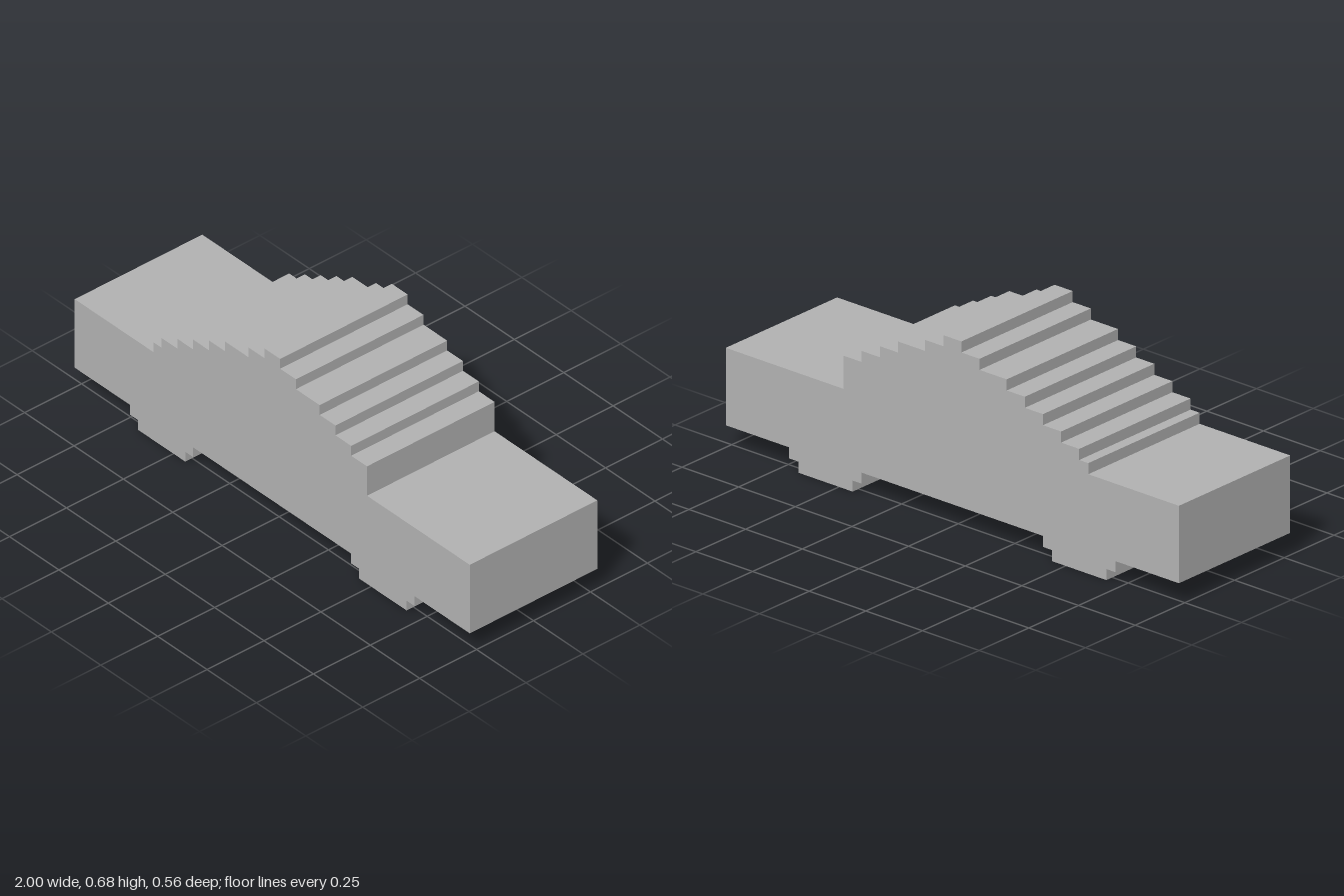
import * as THREE from 'three';

const WIDTH = 0.56;

export function createModel() {
  const group = new THREE.Group();
  group.name = 'steppedCar';

  const grey = new THREE.MeshStandardMaterial({ color: 0xb2b2b2 });
  grey.name = 'plain grey';

  // Side outline, drawn as right-angled steps: [x to run to, y to step to]
  const shape = new THREE.Shape();
  let y = 0.08;
  shape.moveTo(-1, y);
  const step = (x, nextY) => {
    shape.lineTo(x, y);
    if (nextY !== y) shape.lineTo(x, nextY);
    y = nextY;
  };

  // Underside with two stepped wheels
  for (const wheelX of [-0.56, 0.56]) {
    step(wheelX - 0.16, 0.04);
    step(wheelX - 0.12, 0);
    step(wheelX + 0.12, 0.04);
    step(wheelX + 0.16, 0.08);
  }

  // Tail end, then the roof steps up to the ridge and down to the bonnet
  step(1, 0.36);
  const roof = [
    [0.48, 0.48], [0.4, 0.52], [0.32, 0.56], [0.24, 0.6], [0.12, 0.64], [0.04, 0.68],
    [-0.04, 0.64], [-0.12, 0.6], [-0.24, 0.56], [-0.32, 0.52], [-0.4, 0.48],
    [-0.48, 0.44], [-0.56, 0.4], [-0.6, 0.36],
  ];
  roof.forEach(([x, nextY]) => step(x, nextY));
  shape.lineTo(-1, y);
  shape.closePath();

  // One solid body across the full width
  const geometry = new THREE.ExtrudeGeometry(shape, { depth: WIDTH, bevelEnabled: false });
  geometry.translate(0, 0, -WIDTH / 2);
  const body = new THREE.Mesh(geometry, grey);
  body.name = 'carBody';
  group.add(body);

  return group;
}
